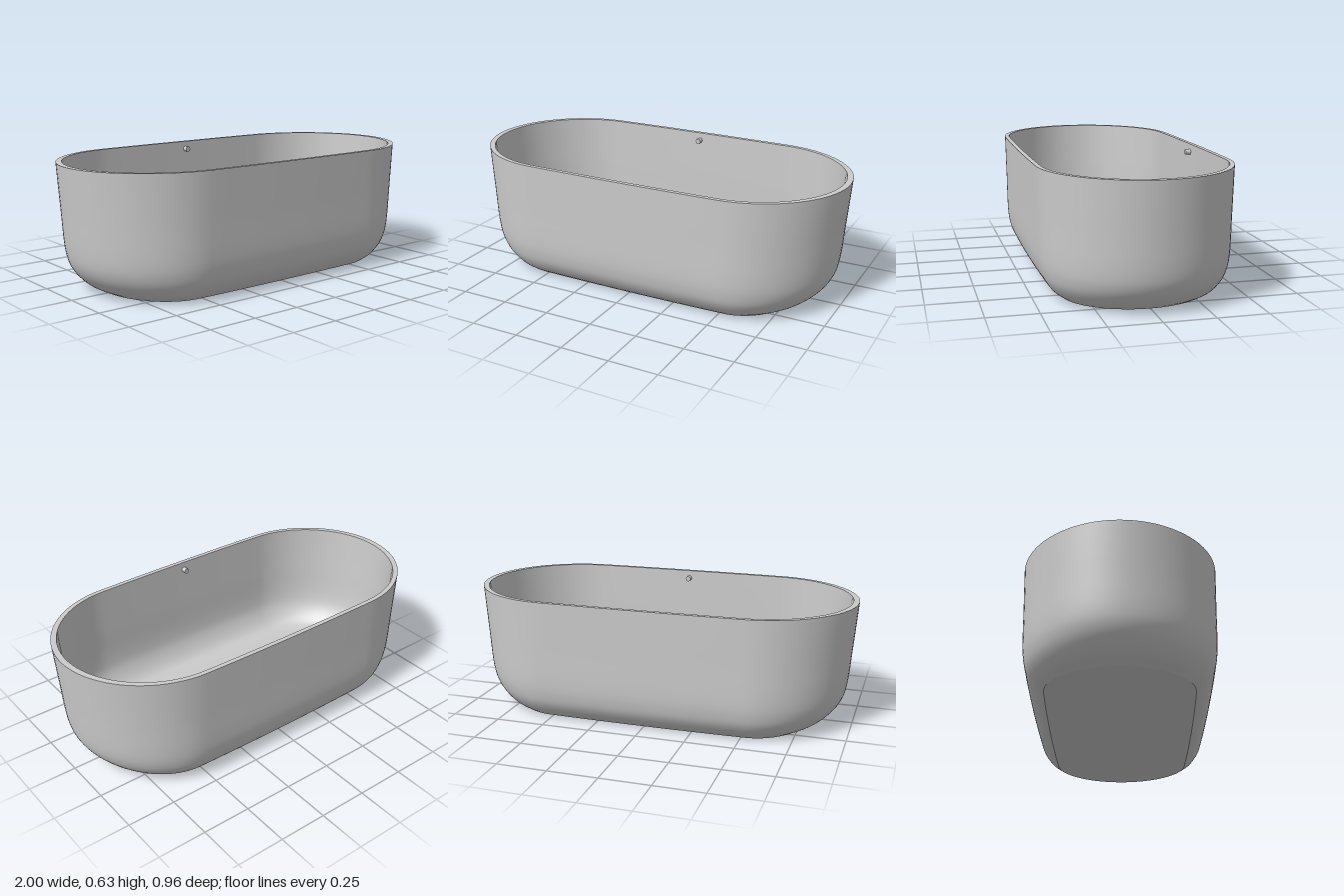
import * as THREE from 'three';

const CENTRE = 0.52; // x of the centre of each rounded end
const ARC = 40, SIDE = 16;

// Long oval: two rounded ends joined by gently bowed sides
function oval(y, a, b) {
  const pts = [];
  const add = (x, z) => pts.push([x, y, z * (1 - 0.05 * (x / a) ** 2)]);
  for (const s of [1, -1]) {
    for (let i = 0; i <= ARC; i++) {
      const t = -Math.PI / 2 + (Math.PI * i) / ARC;
      add(s * (CENTRE + (a - CENTRE) * Math.cos(t)), s * b * Math.sin(t));
    }
    for (let i = 1; i < SIDE; i++) add(s * CENTRE * (1 - (2 * i) / SIDE), s * b);
  }
  return pts;
}

// Skin joining a list of ovals given as [y, half length, half width]
function loft(profile) {
  const rings = profile.map((p) => oval(...p));
  const n = rings[0].length, index = [];
  for (let r = 0; r < rings.length - 1; r++) {
    for (let i = 0; i < n; i++) {
      const a = r * n + i, b = r * n + ((i + 1) % n);
      index.push(a, a + n, b, b, a + n, b + n);
    }
  }
  const g = new THREE.BufferGeometry();
  g.setAttribute('position', new THREE.Float32BufferAttribute(rings.flat(2), 3));
  g.setIndex(index);
  g.computeVertexNormals();
  return g;
}

// Smooth a coarse profile into many rings
function smooth(profile, steps) {
  const curve = new THREE.CatmullRomCurve3(profile.map((p) => new THREE.Vector3(...p)), false, 'centripetal');
  return curve.getPoints(steps).map((p) => p.toArray());
}

export function createModel() {
  const group = new THREE.Group();
  const material = new THREE.MeshStandardMaterial({ color: 0xcccccc, side: THREE.DoubleSide });
  const add = (name, geometry) => {
    const mesh = new THREE.Mesh(geometry, material);
    mesh.name = name;
    group.add(mesh);
    return mesh;
  };

  // Flat underside
  add('underside', loft([[0, CENTRE, 0], [0, 0.8, 0.365]]));

  // Outer wall with its rounded foot
  add('outerWall', loft(smooth([
    [0, 0.8, 0.365], [0.035, 0.865, 0.41], [0.09, 0.92, 0.447], [0.14, 0.948, 0.462],
    [0.2, 0.963, 0.47], [0.4, 0.981, 0.474], [0.632, 1, 0.478],
  ], 40)));

  // Narrow flat rim
  add('rim', loft([[0.632, 1, 0.478], [0.632, 0.97, 0.455]]));

  // Basin: inner wall curving into the floor
  add('basin', loft([
    ...smooth([
      [0.632, 0.97, 0.455], [0.4, 0.952, 0.45], [0.22, 0.935, 0.446], [0.15, 0.915, 0.435],
      [0.09, 0.875, 0.405], [0.055, 0.83, 0.37], [0.04, 0.77, 0.32],
    ], 40),
    [0.04, 0.74, 0.29], [0.04, CENTRE, 0],
  ]));

  // Small round overflow buttons on both long sides
  for (const s of [1, -1]) {
    const button = add(s > 0 ? 'frontOverflowButton' : 'backOverflowButton',
      new THREE.CylinderGeometry(0.014, 0.014, 0.036, 24));
    button.rotation.x = Math.PI / 2;
    button.position.set(0, 0.59, s * 0.444);
  }
  return group;
}
